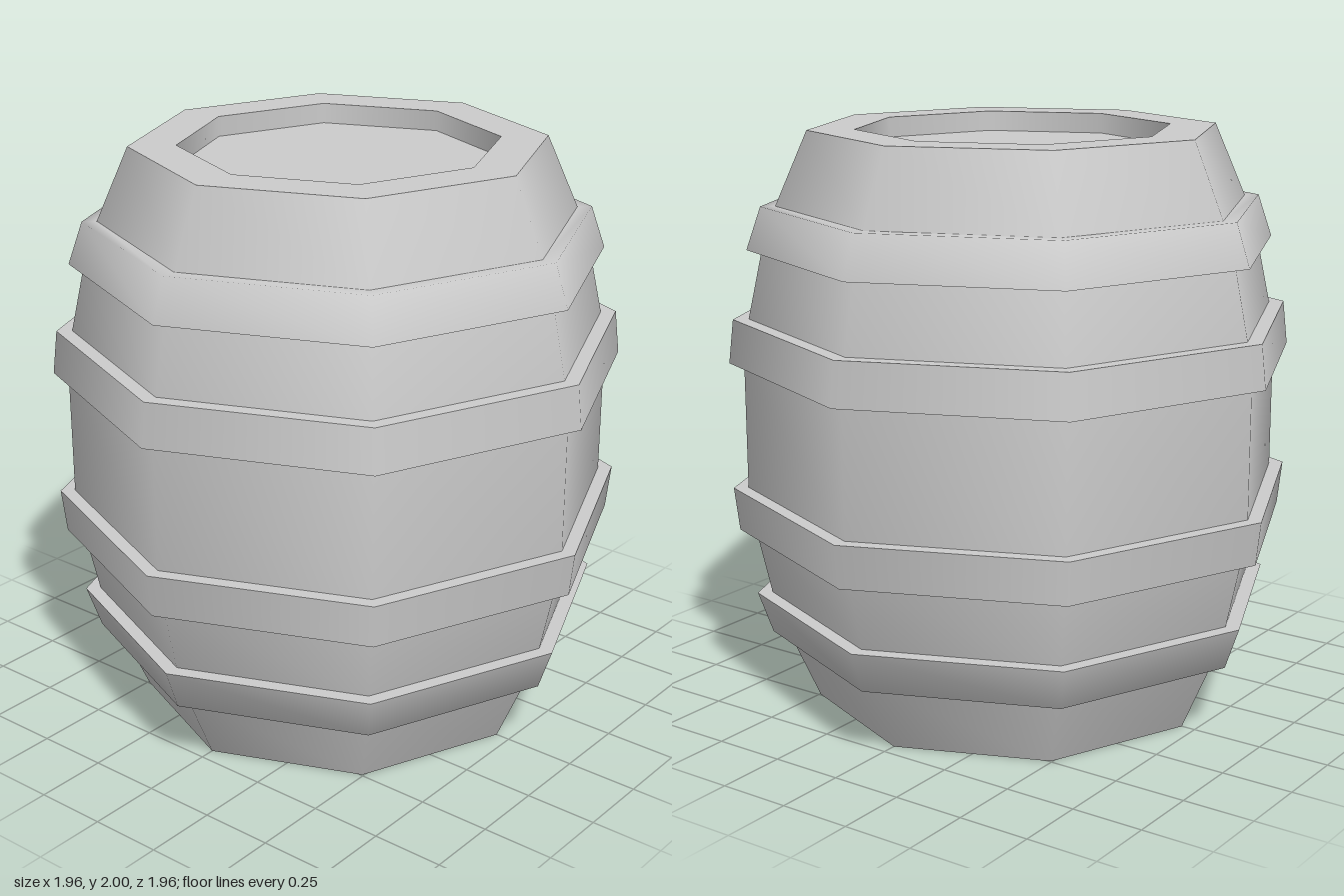
import * as THREE from 'three';

const SIDES = 8;
const material = new THREE.MeshStandardMaterial({ color: 0xcccccc });

// Octagonal lathe; profile points [radius, y] run counter-clockwise so faces look outward
function turned(name, points) {
  const profile = points.map(([r, y]) => new THREE.Vector2(r, y));
  const mesh = new THREE.Mesh(new THREE.LatheGeometry(profile, SIDES), material);
  mesh.name = name;
  return mesh;
}

// Each strip is smooth within itself and sharp against the next
function turnedGroup(name, strips) {
  const group = new THREE.Group();
  group.name = name;
  strips.forEach((strip, i) => group.add(turned(`${name}Face${i + 1}`, strip)));
  return group;
}

// Mirrors a strip to the other end of the barrel, keeping its winding
const flip = (strip) => strip.map(([r, y]) => [r, 2 - y]).reverse();

export function createModel() {
  const barrel = new THREE.Group();
  barrel.name = 'barrel';

  // Bulging staves
  const half = [[0.7, 0], [0.81, 0.25], [0.86, 0.4], [0.91, 0.63], [0.93, 0.78]];
  barrel.add(turned('staves', [...half, ...flip(half)]));

  // Recessed head: flat panel, short wall and rim
  const head = [
    [[0, 0.07], [0.54, 0.07]],
    [[0.54, 0.07], [0.54, 0]],
    [[0.54, 0], [0.7, 0]],
  ];
  // End hoop: outer lip blends softly into its band
  const endHoop = [
    [[0.81, 0.25], [0.86, 0.25], [0.91, 0.395]],
    [[0.91, 0.395], [0.858, 0.395]],
  ];
  // Belly hoop: crisp edges all round
  const bellyHoop = [
    [[0.91, 0.63], [0.963, 0.63]],
    [[0.963, 0.63], [0.98, 0.78]],
    [[0.98, 0.78], [0.93, 0.78]],
  ];

  // Same parts at the bottom and, mirrored, at the top
  for (const [name, strips] of Object.entries({ Head: head, EndHoop: endHoop, BellyHoop: bellyHoop })) {
    barrel.add(turnedGroup('bottom' + name, strips));
    barrel.add(turnedGroup('top' + name, strips.map(flip)));
  }
  return barrel;
}
